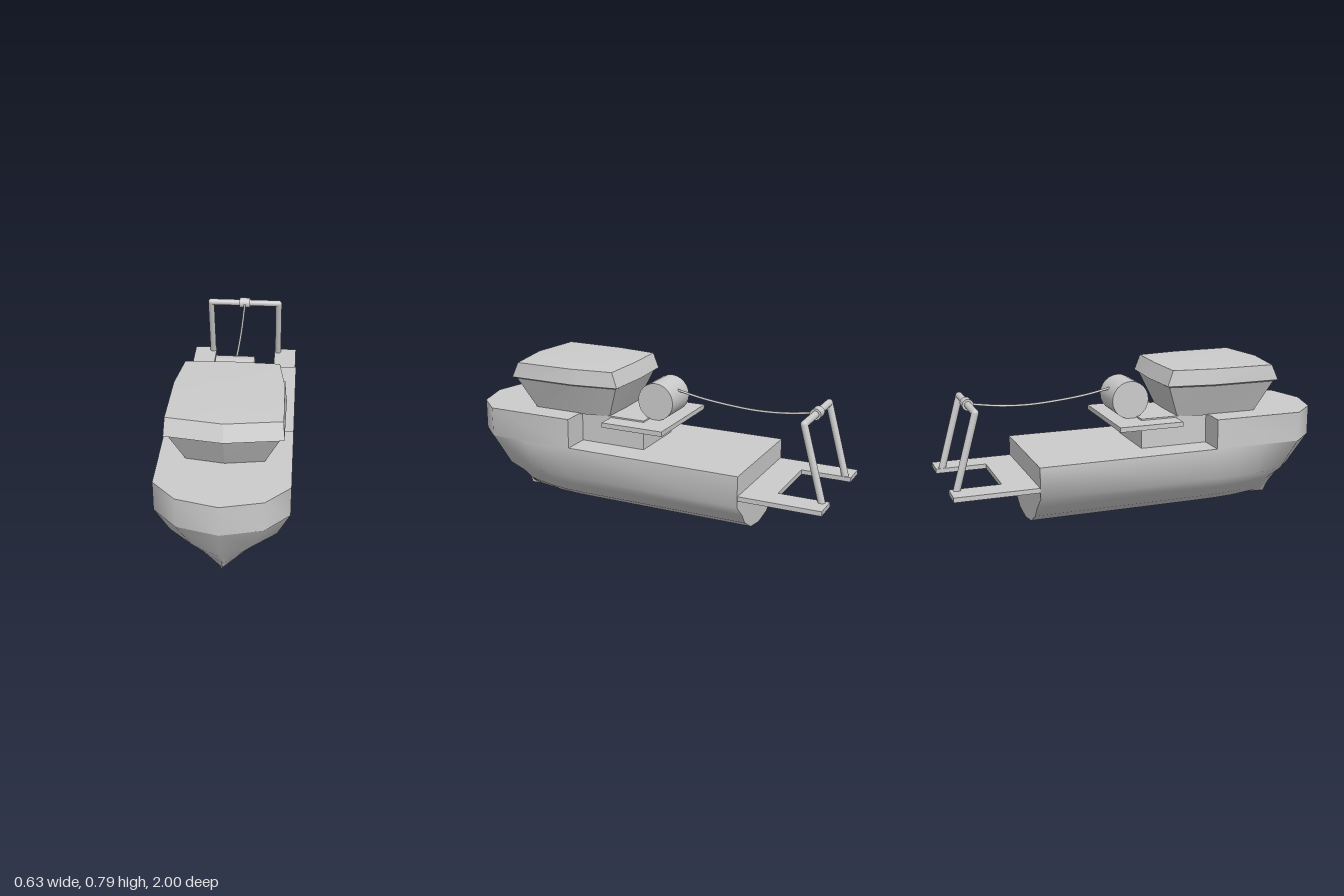
import * as THREE from 'three';
import { toCreasedNormals } from 'three/addons/utils/BufferGeometryUtils.js';

const material = new THREE.MeshStandardMaterial({ color: 0xcccccc, side: THREE.DoubleSide });

// Closed skin through equal-length rings of [x, y, z], capped at both ends
function loft(rings, crease) {
  const n = rings[0].length, last = (rings.length - 1) * n, index = [];
  for (let i = 0; i < rings.length - 1; i++) {
    for (let j = 0; j < n; j++) {
      const a = i * n + j, b = i * n + (j + 1) % n;
      index.push(a, a + n, b, b, a + n, b + n);
    }
  }
  for (let j = 1; j < n - 1; j++) index.push(0, j, j + 1, last, last + j + 1, last + j);
  const g = new THREE.BufferGeometry();
  g.setAttribute('position', new THREE.Float32BufferAttribute(rings.flat(2), 3));
  g.setIndex(index);
  return toCreasedNormals(g, crease);
}

// Flat plan of [x, z] points raised from y0 to y1
function slab(points, y0, y1) {
  const shape = new THREE.Shape(points.map(([x, z]) => new THREE.Vector2(x, -z)));
  const g = new THREE.ExtrudeGeometry(shape, { depth: y1 - y0, bevelEnabled: false });
  g.rotateX(-Math.PI / 2).translate(0, y0, 0);
  return toCreasedNormals(g, 0.9);
}

// Symmetric plan ring at height y from [x, z] points running back to front on the left side
function planRing(half, frontZ, backZ, y) {
  return [
    ...half.map(([x, z]) => [x, y, z]), [0, y, frontZ],
    ...half.map(([x, z]) => [-x, y, z]).reverse(), [0, y, backZ],
  ];
}

function hullGeometry() {
  // Half section [x, y] from deck edge towards the keel
  const section = [[0.315, 0.37], [0.315, 0.21], [0.24, 0.14], [0.2, 0.085], [0.115, 0.033], [0, 0.015]];
  // Bow stations: [position along bow, width kept at the deck, width kept at the keel]
  const stations = [[0, 1, 1], [0.2, 1, 0.97], [0.42, 1, 0.87], [0.73, 1, 0.55], [0.92, 0.635, 0.2], [1, 0, 0]];
  const mirror = (half) => [...half, ...half.slice(0, -1).reverse().map(([x, y, z]) => [-x, y, z])];
  const rings = [mirror(section.map(([x, y]) => [x, y, -0.58]))];
  for (const [u, top, low] of stations) {
    rings.push(mirror(section.map(([x, y], j) => {
      const yy = j === 5 ? y - 0.015 * u : y;
      const stem = 0.8 + 0.2 * yy / 0.37;
      const keep = THREE.MathUtils.lerp(low, top, Math.min(1, yy / 0.37));
      return [x * keep, yy, 0.36 + (stem - 0.36) * u];
    })));
  }
  return loft(rings, 0.9);
}

export function createModel() {
  const model = new THREE.Group();
  const add = (name, geometry, parent = model) => {
    const mesh = new THREE.Mesh(geometry, material);
    mesh.name = name;
    parent.add(mesh);
    return mesh;
  };
  const rod = (name, a, b, r, parent) => {
    const from = new THREE.Vector3(...a), dir = new THREE.Vector3(...b).sub(from);
    const mesh = add(name, new THREE.CylinderGeometry(r, r, dir.length(), 24), parent);
    mesh.position.copy(from).addScaledVector(dir, 0.5);
    mesh.quaternion.setFromUnitVectors(new THREE.Vector3(0, 1, 0), dir.normalize());
    return mesh;
  };

  // Hull with raised foredeck and the step behind it
  add('hull', hullGeometry());
  add('foredeck', slab([[0.315, 0.36], [0.315, 0.83], [0.2, 0.95], [0, 1],
    [-0.2, 0.95], [-0.315, 0.83], [-0.315, 0.36]], 0.37, 0.525));
  add('winchPedestal', new THREE.BoxGeometry(0.33, 0.155, 0.36)).position.set(0, 0.4475, 0.18);
  add('winchPlatform', new THREE.BoxGeometry(0.53, 0.025, 0.34)).position.set(0, 0.505, 0.02);

  // Flared wheelhouse and overhanging roof
  const base = planRing([[0.16, 0.2], [0.185, 0.36], [0.185, 0.625]], 0.655, 0.195, 0.52);
  const eaves = planRing([[0.22, 0.13], [0.257, 0.36], [0.255, 0.7]], 0.74, 0.12, 0.69);
  add('wheelhouse', loft([base, eaves], 0.15));
  add('roof', loft([
    eaves,
    planRing([[0.24, 0.113], [0.277, 0.36], [0.275, 0.717]], 0.758, 0.1, 0.7),
    planRing([[0.235, 0.143], [0.266, 0.36], [0.27, 0.682]], 0.722, 0.135, 0.78),
    base.map(() => [0, 0.79, 0.42]),
  ], 0.15));

  // Winch drum and sagging tow cable
  rod('winchDrum', [-0.1, 0.613, -0.035], [0.1, 0.613, -0.035], 0.098);
  const cable = new THREE.CatmullRomCurve3([
    [0.662, -0.115], [0.636, -0.25], [0.617, -0.42], [0.61, -0.56], [0.617, -0.7], [0.64, -0.86],
  ].map(([y, z]) => new THREE.Vector3(0, y, z)));
  add('towCable', new THREE.TubeGeometry(cable, 40, 0.006, 10));

  // Notched stern platform
  add('sternPlatform', slab([[-0.31, -0.57], [0.31, -0.57], [0.31, -1], [0.18, -1],
    [0.18, -0.74], [-0.18, -0.74], [-0.18, -1], [-0.31, -1]], 0.242, 0.266));

  // Stern gantry
  const gantry = new THREE.Group();
  gantry.name = 'gantry';
  model.add(gantry);
  rod('crossbar', [-0.2, 0.64, -0.86], [0.2, 0.64, -0.86], 0.018, gantry);
  rod('cableGuide', [-0.03, 0.64, -0.86], [0.03, 0.64, -0.86], 0.029, gantry);
  for (const x of [-0.2, 0.2]) {
    rod('gantryLeg', [x, 0.64, -0.86], [x, 0.255, -0.967], 0.018, gantry);
    add('gantryCorner', new THREE.SphereGeometry(0.018, 20, 14), gantry).position.set(x, 0.64, -0.86);
  }
  return model;
}
